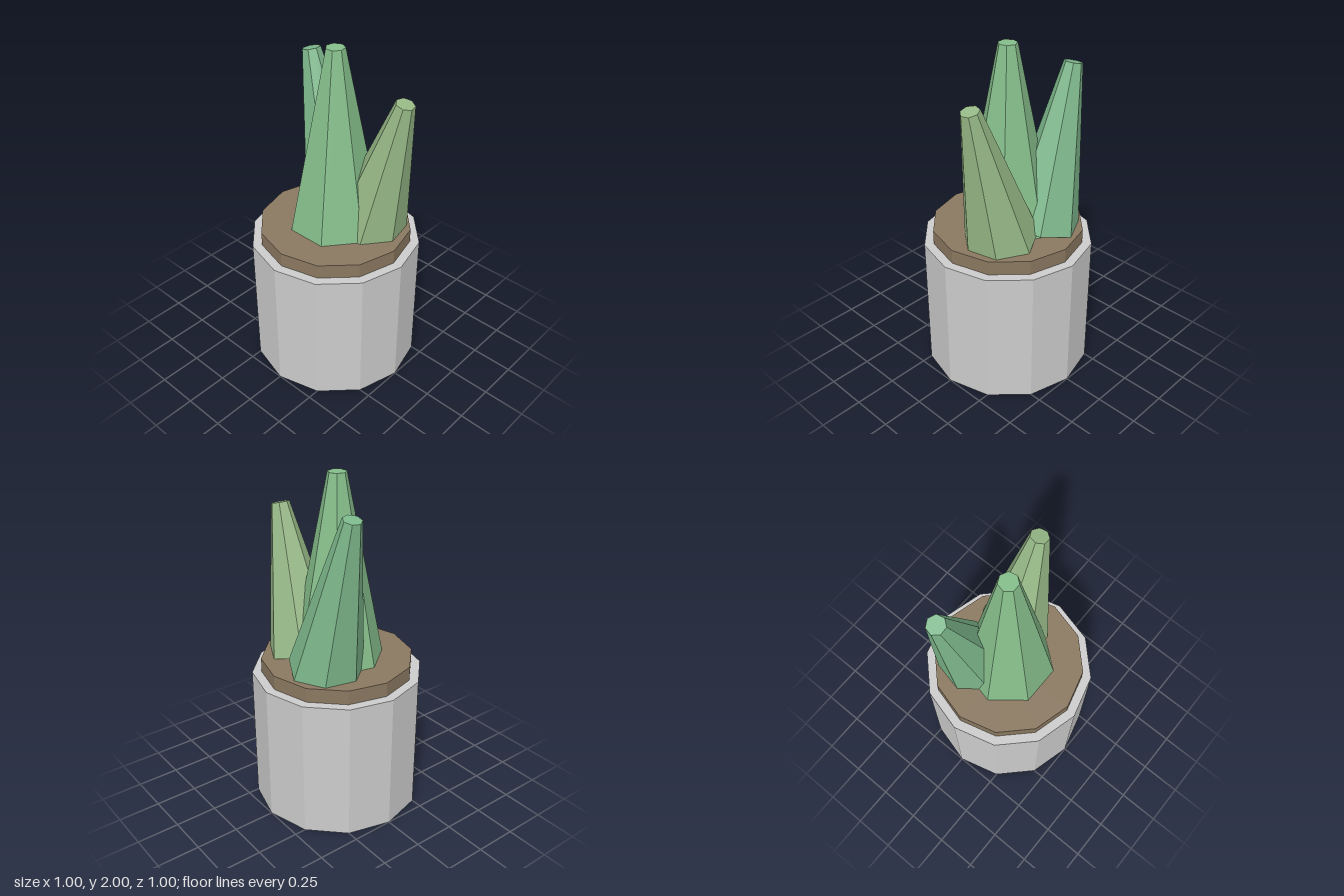
import * as THREE from 'three';

const material = (color) => new THREE.MeshStandardMaterial({ color, flatShading: true });

// Faceted prism or cone standing on baseY
function prism(name, topRadius, bottomRadius, baseY, height, color) {
  const geometry = new THREE.CylinderGeometry(topRadius, bottomRadius, height, 12);
  geometry.translate(0, baseY + height / 2, 0);
  const mesh = new THREE.Mesh(geometry, material(color));
  mesh.name = name;
  return mesh;
}

// Seven-sided tapering leaf, pivoting on its base centre, one corner to the back
function leaf({ name, base, radius, length, tilt, color }) {
  const geometry = new THREE.CylinderGeometry(0.054, radius, length, 7, 1, false, Math.PI);
  geometry.translate(0, length / 2, 0);
  const mesh = new THREE.Mesh(geometry, material(color));
  mesh.name = name;
  mesh.position.set(...base);
  mesh.rotation.z = tilt;
  return mesh;
}

export function createModel() {
  const plant = new THREE.Group();
  plant.name = 'pottedPlant';

  // Pot and the soil disc raised above its rim
  plant.add(prism('pot', 0.5, 0.5, 0, 0.835, 0xcccccc));
  plant.add(prism('soil', 0.445, 0.445, 0.8, 0.12, 0x8a7860));

  // Upright middle leaf and two smaller ones leaning outwards
  const leaves = [
    { name: 'middleLeaf', base: [0, 0.92, 0], radius: 0.272, length: 1.08, tilt: 0, color: 0x85bd8a },
    { name: 'rightLeaf', base: [-0.113, 0.92, -0.168], radius: 0.22, length: 0.957, tilt: 0.238, color: 0x7eb88c },
    { name: 'leftLeaf', base: [0.17, 0.92, -0.11], radius: 0.22, length: 0.873, tilt: -0.248, color: 0x96b886 },
  ];
  for (const options of leaves) plant.add(leaf(options));

  return plant;
}
